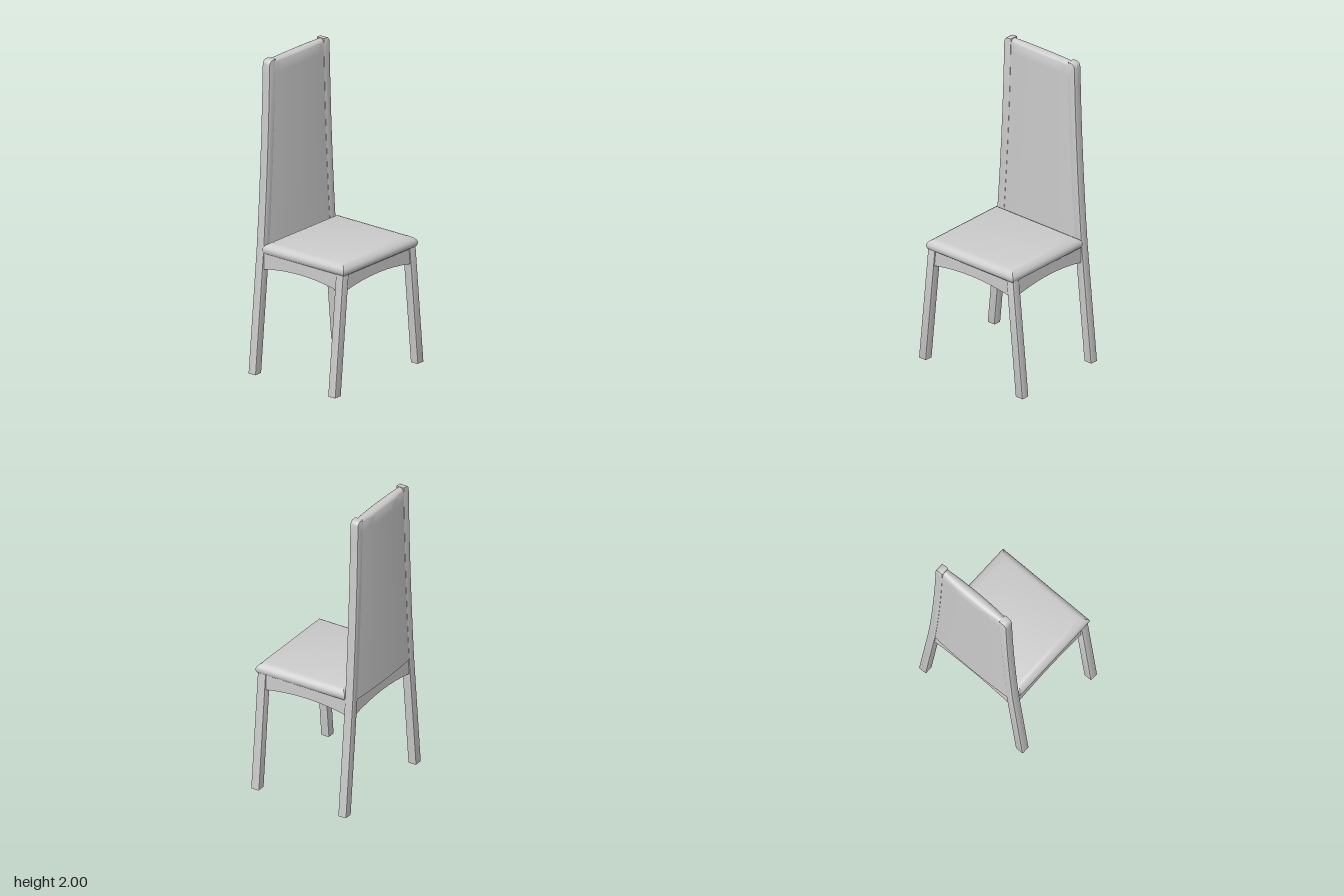
import * as THREE from 'three';
import { mergeVertices, toCreasedNormals } from 'three/addons/utils/BufferGeometryUtils.js';

const material = new THREE.MeshStandardMaterial({ color: 0xcccccc });
const LEG = 0.055; // leg thickness
const BEVEL = 0.004;
const BACK_X = -0.318, FRONT_X = 0.313;

// Outer z of the legs and posts at height y: straight splay below, gentle curve above
function outerZ(y) {
  if (y < 0.78) return 0.42 - 0.097 * y;
  const t = (2 - y) / 1.22;
  return 0.285 + 0.059 * (0.4 * t + 0.6 * t * t);
}

// Extrude a shape to a total depth, bevels included, centred on its depth
function slab(shape, depth, bevel) {
  const geo = new THREE.ExtrudeGeometry(shape, {
    depth: depth - 2 * bevel, bevelEnabled: bevel > 0, bevelThickness: bevel,
    bevelSize: bevel, bevelOffset: -bevel, bevelSegments: 2, curveSegments: 8,
  });
  geo.translate(0, 0, -depth / 2 + bevel);
  return toCreasedNormals(geo, 0.5);
}

// Leg profile in the zy plane; side is +1 or -1, round is the outer top radius
function legGeometry(side, height, round) {
  const heights = [0, 0.78, 0.9, 1.0, 1.15, 1.3, 1.5, 1.7, 1.9].filter((y) => y < height - 0.05);
  const shape = new THREE.Shape();
  heights.forEach((y, i) => shape[i ? 'lineTo' : 'moveTo'](side * outerZ(y), y));
  const top = outerZ(height);
  if (round) {
    shape.lineTo(side * outerZ(height - round), height - round);
    shape.quadraticCurveTo(side * top, height, side * (top - round * 0.8), height);
  } else shape.lineTo(side * top, height);
  shape.lineTo(side * (top - LEG), height);
  heights.reverse().forEach((y) => shape.lineTo(side * (outerZ(y) - LEG), y));
  return slab(shape, 0.057, BEVEL).rotateY(-Math.PI / 2);
}

// Apron board with an arched lower edge, spanning a to b
function apronGeometry(a, b) {
  const shape = new THREE.Shape();
  shape.moveTo(a, 0.785);
  shape.lineTo(a, 0.665);
  shape.quadraticCurveTo((a + b) / 2, 0.728, b, 0.665);
  shape.lineTo(b, 0.785);
  return slab(shape, 0.03, 0);
}

// Cushion: rectangular rings, each with an inset and a height, capped both ends
function seatGeometry() {
  const rings = [[0.018, 0.765], [0.005, 0.775], [0, 0.79], [0, 0.803], [0.006, 0.816],
    [0.017, 0.828], [0.034, 0.838], [0.058, 0.845]];
  const pos = [], index = [];
  rings.forEach(([d, y]) => {
    const l = -0.292 + d, r = 0.352 - d, z = 0.352 - d;
    pos.push(l, y, z, r, y, z, r, y, -z, l, y, -z);
  });
  for (let i = 0; i < rings.length - 1; i++) {
    for (let j = 0; j < 4; j++) {
      const a = i * 4 + j, b = i * 4 + (j + 1) % 4;
      index.push(a, b, b + 4, a, b + 4, a + 4);
    }
  }
  const t = (rings.length - 1) * 4;
  index.push(t, t + 1, t + 2, t, t + 2, t + 3, 0, 2, 1, 0, 3, 2);
  const geo = new THREE.BufferGeometry();
  geo.setAttribute('position', new THREE.Float32BufferAttribute(pos, 3));
  geo.setIndex(index);
  return toCreasedNormals(geo, 0.7);
}

// Back panel: a box bowed on both faces, narrowing upwards, with a rounded top
function panelGeometry() {
  const geo = new THREE.BoxGeometry(2, 1, 2, 10, 20, 16);
  const p = geo.attributes.position;
  for (let i = 0; i < p.count; i++) {
    const u = Math.sin(p.getX(i) * Math.PI / 2), v = p.getY(i) + 0.5, w = p.getZ(i);
    const y = 0.77 + v * (1.2 + 0.028 * Math.sqrt(Math.max(0, 1 - u * u)));
    const half = 0.026 + 0.01 * (1 - w * w);
    p.setXYZ(i, BACK_X + u * half, y, w * (outerZ(y) - LEG + 0.002));
  }
  geo.deleteAttribute('normal');
  geo.deleteAttribute('uv');
  return toCreasedNormals(mergeVertices(geo, 1e-5), 0.7);
}

export function createModel() {
  const model = new THREE.Group();
  model.name = 'chair';
  const add = (name, geometry, x = 0, z = 0) => {
    const mesh = new THREE.Mesh(geometry, material);
    mesh.name = name;
    mesh.position.set(x, 0, z);
    model.add(mesh);
    return mesh;
  };

  // Legs, the rear pair rising into the back posts, and the side aprons
  for (const [label, s] of [['left', 1], ['right', -1]]) {
    add(label + 'BackPost', legGeometry(s, 2, 0.04), BACK_X);
    add(label + 'FrontLeg', legGeometry(s, 0.775, 0), FRONT_X);
    add(label + 'Apron', apronGeometry(-0.295, 0.29), 0, s * 0.325);
  }

  // Front and back aprons
  add('frontApron', apronGeometry(-0.305, 0.305).rotateY(Math.PI / 2), FRONT_X + 0.005);
  add('backApron', apronGeometry(-0.305, 0.305).rotateY(Math.PI / 2), BACK_X - 0.005);

  // Upholstery
  add('seatCushion', seatGeometry());
  add('backPanel', panelGeometry());
  return model;
}
